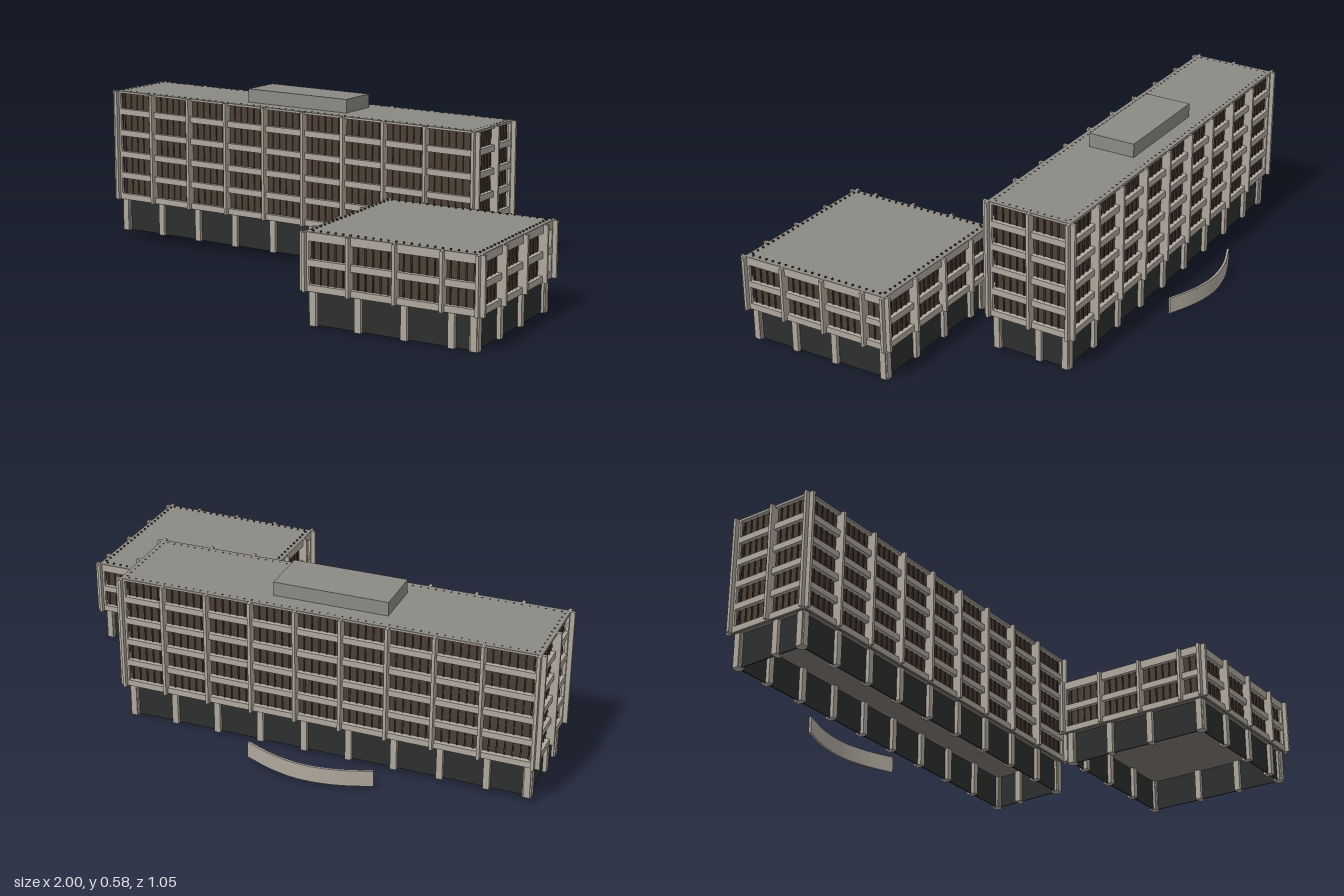
import * as THREE from 'three';

const mat = (color) => new THREE.MeshStandardMaterial({ color, flatShading: true });
const concrete = mat(0xaea79c), roofGrey = mat(0x8b8983), brown = mat(0x4b3f34);
const darkBrown = mat(0x41362c), glass = mat(0x2d2f2e), under = mat(0x7d7872);

function box(parent, name, material, [w, h, d], [x, y, z]) {
  const mesh = new THREE.Mesh(new THREE.BoxGeometry(w, h, d), material);
  mesh.name = name;
  mesh.position.set(x, y, z);
  parent.add(mesh);
  return mesh;
}

const BAY = 0.155;      // spacing of fins and columns
const RECESS = 0.016;   // windows sit behind the spandrels
const BAND = 0.021;     // spandrel height
const INSET = 0.024;    // ground floor walls stand back from the facade

// Positions from the left corner; the last bay takes the remainder
function bays(width) {
  const xs = [];
  for (let x = 0; x < width - 0.04; x += BAY) xs.push(x - width / 2);
  return [...xs, width / 2];
}

// One facade, seen from outside, its outer plane at z = 0
function wall(name, width, o) {
  const g = new THREE.Group();
  g.name = name;
  const height = o.roof - o.base;
  const floorH = (height - o.cornice) / o.floors;

  // Horizontal spandrels and the cornice
  for (let f = 0; f < o.floors; f++) {
    box(g, 'spandrel', concrete, [width, BAND, 0.02], [0, o.base + f * floorH + BAND / 2, -0.01]);
  }
  box(g, 'cornice', concrete, [width, o.cornice, 0.02], [0, o.roof - o.cornice / 2, -0.01]);

  // Slim window mullions, ending just above the roof
  const n = Math.round(width / (BAY / 6));
  for (let i = 1; i < n; i++) {
    box(g, 'mullion', darkBrown, [0.004, height + o.mullionRise, 0.006],
      [-width / 2 + (i * width) / n, o.base + (height + o.mullionRise) / 2, -RECESS + 0.001]);
  }

  // Fins on the facade
  const reach = width / 2 - 0.005;
  bays(width).forEach((x) => {
    box(g, 'fin', concrete, [0.01, height + 0.003, 0.032],
      [THREE.MathUtils.clamp(x, -reach, reach), o.base + height / 2 + 0.001, -0.001]);
  });

  // Recessed ground floor wall with its columns
  const groundW = width - 2 * INSET, groundH = o.base - o.ground;
  const groundY = (o.base + o.ground) / 2;
  box(g, 'groundWall', glass, [groundW, groundH - 0.002, 0.004], [0, groundY, -INSET]);
  bays(groundW).forEach((x) => {
    box(g, 'column', concrete, [0.021, groundH, 0.03], [x, groundY, -INSET]);
  });
  return g;
}

// Slope the levels gently while keeping every upright vertical
function slopeLevels(group, alongX, alongZ) {
  const shear = new THREE.Matrix4().set(1, 0, 0, 0, alongX, 1, alongZ, 0, 0, 0, 1, 0, 0, 0, 0, 1);
  group.updateMatrixWorld(true);
  group.traverse((part) => {
    if (!part.isMesh) return;
    const local = part.matrixWorld.clone().invert().multiply(shear).multiply(part.matrixWorld);
    part.geometry.applyMatrix4(local);
  });
}

function building(name, o) {
  const g = new THREE.Group();
  g.name = name;
  const { length: L, depth: D } = o;

  // Four facades around the block
  [['frontWall', L, D], ['rightWall', D, L], ['backWall', L, D], ['leftWall', D, L]].forEach(
    ([wallName, w, across], i) => {
      const pivot = new THREE.Group();
      pivot.name = wallName + 'Side';
      pivot.rotation.y = (i * Math.PI) / 2;
      const side = wall(wallName, w, o);
      side.position.z = across / 2;
      pivot.add(side);
      g.add(pivot);
    });

  // Window body, roof and soffit
  const h = o.roof - o.base;
  box(g, 'windowBody', brown, [L - 2 * RECESS, h - 0.004, D - 2 * RECESS], [0, o.base + h / 2, 0]);
  box(g, 'roof', roofGrey, [L, 0.004, D], [0, o.roof + 0.001, 0]);
  box(g, 'soffit', under, [L - 0.01, 0.004, D - 0.01], [0, o.base, 0]);
  if (o.penthouse) {
    const [w, ph, d] = o.penthouse;
    box(g, 'penthouse', roofGrey, [w, ph, d], [0, o.roof + ph / 2, 0]);
  }

  slopeLevels(g, ...o.slope);
  const [x, z] = o.at;
  g.rotation.y = o.turn;
  g.position.set(x, 0, z);
  return g;
}

// Free-standing curved wall behind the main block
function curvedWall() {
  const path = new THREE.CatmullRomCurve3([
    [-0.545, -0.325], [-0.45, -0.395], [-0.345, -0.443], [-0.24, -0.458], [-0.13, -0.452],
  ].map(([x, z]) => new THREE.Vector3(x, 0, z)));
  const pts = path.getPoints(24);
  const half = 0.004;
  const edge = (s) => pts.map((p, i) => {
    const t = path.getTangent(i / 24);
    return new THREE.Vector2(p.x - t.z * half * s, -(p.z + t.x * half * s));
  });
  const shape = new THREE.Shape([...edge(1), ...edge(-1).reverse()]);
  const geo = new THREE.ExtrudeGeometry(shape, { depth: 0.056, bevelEnabled: false });
  geo.rotateX(-Math.PI / 2);
  const mesh = new THREE.Mesh(geo, concrete);
  mesh.name = 'curvedWall';
  mesh.position.y = 0.015;
  return mesh;
}

export function createModel() {
  const model = new THREE.Group();
  model.name = 'officeComplex';
  model.add(
    building('mainBlock', {
      length: 1.42, depth: 0.3, ground: 0.023, base: 0.139, roof: 0.533, floors: 5, cornice: 0.005,
      mullionRise: 0.004, at: [-0.267, -0.16], turn: 0.298, slope: [-0.021, 0.02],
      penthouse: [0.39, 0.05, 0.165],
    }),
    building('annex', {
      length: 0.585, depth: 0.545, ground: 0.007, base: 0.117, roof: 0.299, floors: 2, cornice: 0.025,
      mullionRise: 0.008, at: [0.626, 0.165], turn: 0.296, slope: [-0.008, 0.002],
    }),
    curvedWall(),
  );
  return model;
}
